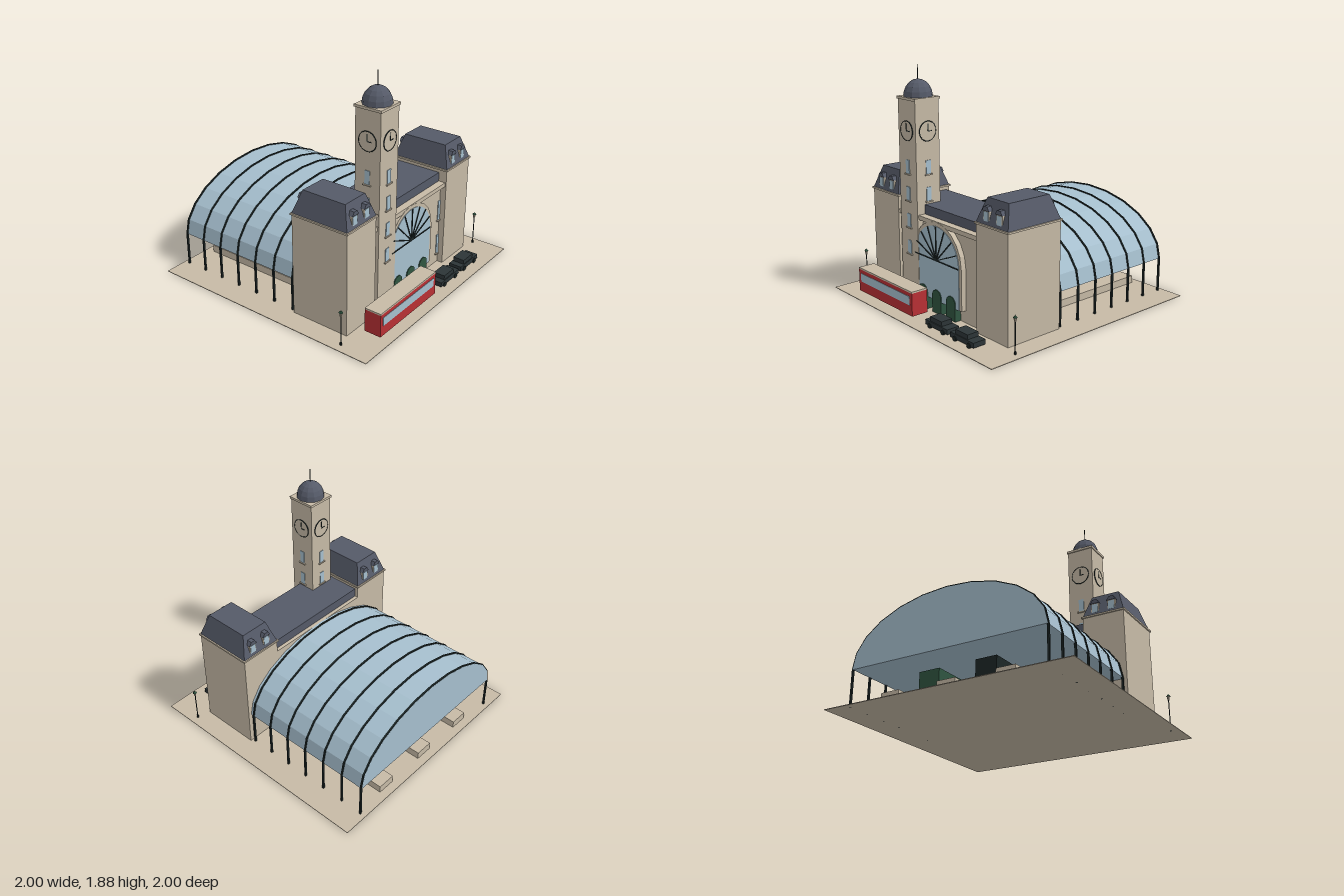
import * as THREE from 'three';

const mat = (name, color, side = THREE.FrontSide) => {
  const m = new THREE.MeshStandardMaterial({ color, side, flatShading: true });
  m.name = name;
  return m;
};

export function createModel() {
  const stone = mat('stone', 0xc6baa6), slate = mat('slate', 0x555a68), glass = mat('glass', 0xa6bfce);
  const iron = mat('iron', 0x1c2626), red = mat('red', 0xb83034), green = mat('green', 0x2f5440);
  const dark = mat('dark car paint', 0x2c3537);
  const root = new THREE.Group();
  root.name = 'railwayStation';

  const add = (name, geo, m, parent = root) => {
    const mesh = new THREE.Mesh(geo, m);
    mesh.name = name;
    parent.add(mesh);
    return mesh;
  };
  const group = (name, x = 0, y = 0, z = 0) => {
    const g = new THREE.Group();
    g.name = name;
    g.position.set(x, y, z);
    root.add(g);
    return g;
  };
  // box given by its limits on each axis
  const box = (name, m, x0, x1, y0, y1, z0, z1, parent = root) => {
    const b = add(name, new THREE.BoxGeometry(x1 - x0, y1 - y0, z1 - z0), m, parent);
    b.position.set((x0 + x1) / 2, (y0 + y1) / 2, (z0 + z1) / 2);
    return b;
  };
  const extrude = (name, points, z0, z1, m, parent = root) => {
    const geo = new THREE.ExtrudeGeometry(new THREE.Shape(points), { depth: z1 - z0, bevelEnabled: false });
    geo.translate(0, 0, z0);
    return add(name, geo, m, parent);
  };
  // half ellipse from right to left
  const arc = (a, b, y, n, x = 0) => Array.from({ length: n + 1 }, (_, i) => {
    const t = (Math.PI * i) / n;
    return new THREE.Vector2(x + a * Math.cos(t), y + b * Math.sin(t));
  });
  // round-headed panel
  const tablet = (r, y0, spring, n, x = 0) => [
    new THREE.Vector2(x + r, y0), ...arc(r, r, spring, n, x), new THREE.Vector2(x - r, y0)];
  // window pane with a thin surround and a sill, facing +z
  const windowUnit = (x, y, z, w, h, parent) => {
    box('windowPane', glass, x - w / 2, x + w / 2, y, y + h, z - 0.004, z + 0.004, parent);
    box('windowSill', stone, x - w / 2 - 0.012, x + w / 2 + 0.012, y - 0.01, y, z - 0.004, z + 0.012, parent);
  };

  box('ground', stone, -1, 1, 0, 0.005, -1, 1);

  // Central hall
  box('hallWall', stone, -0.48, 0.48, 0, 0.7, 0.2, 0.65);
  box('hallCornice', stone, -0.48, 0.48, 0.7, 0.735, 0.2, 0.69);
  box('hallRoof', slate, -0.48, 0.48, 0.735, 0.81, 0.23, 0.63);
  extrude('archSurround', tablet(0.297, 0.105, 0.435, 10), 0.64, 0.692, stone);
  extrude('archGlass', tablet(0.27, 0.105, 0.43, 24), 0.69, 0.697, glass);
  for (let i = 0; i <= 8; i++) {
    const t = (Math.PI * i) / 8;
    const bar = add('fanBar', new THREE.BoxGeometry(0.268, 0.008, 0.008), iron);
    bar.position.set(0.134 * Math.cos(t), 0.43 + 0.134 * Math.sin(t), 0.699);
    bar.rotation.z = t;
  }
  for (const x of [-0.175, 0, 0.175]) extrude('door', tablet(0.055, 0.005, 0.14, 12, x), 0.64, 0.704, green);
  for (const s of [-1, 1]) for (const [y, h] of [[0.09, 0.17], [0.4, 0.17]]) windowUnit(s * 0.466, y, 0.652, 0.03, h, root);

  // Corner pavilions with tapered roofs and dormers
  for (const s of [-1, 1]) {
    const p = group(s > 0 ? 'leftPavilion' : 'rightPavilion', s * 0.6525, 0, 0.45);
    box('pavilionWall', stone, -0.1725, 0.1725, 0, 0.84, -0.25, 0.25, p);
    box('pavilionCornice', stone, -0.183, 0.183, 0.836, 0.85, -0.26, 0.26, p);
    const geo = new THREE.BoxGeometry(0.345, 0.18, 0.5);
    const pos = geo.attributes.position;
    for (let i = 0; i < pos.count; i++) {
      if (pos.getY(i) > 0) pos.setXYZ(i, Math.sign(pos.getX(i)) * 0.115, 0.09, Math.sign(pos.getZ(i)) * 0.19);
    }
    geo.computeVertexNormals();
    add('mansardRoof', geo, slate, p).position.y = 0.94;
    for (const turn of [0, Math.PI]) {
      const side = new THREE.Group();
      side.name = 'dormers';
      side.rotation.y = turn;
      p.add(side);
      for (const x of [-0.07, 0.07]) {
        box('dormerBody', stone, x - 0.033, x + 0.033, 0.86, 0.95, 0.18, 0.24, side);
        box('dormerPane', glass, x - 0.025, x + 0.025, 0.872, 0.942, 0.237, 0.244, side);
        extrude('dormerRoof', [[-0.038, 0.948], [0.038, 0.948], [0.018, 0.98], [-0.018, 0.98]]
          .map(([a, b]) => new THREE.Vector2(x + a, b)), 0.17, 0.247, slate, side);
      }
    }
  }

  // Clock tower
  const tower = group('clockTower', -0.335, 0, 0.59);
  box('towerShaft', stone, -0.11, 0.11, 0, 1.62, -0.11, 0.11, tower);
  box('towerCornice', stone, -0.118, 0.118, 1.615, 1.635, -0.118, 0.118, tower);
  const dome = add('dome', new THREE.SphereGeometry(0.112, 12, 5, 0, Math.PI * 2, 0, Math.PI / 2), slate, tower);
  dome.position.y = 1.635;
  dome.scale.y = 1.17;
  add('spire', new THREE.CylinderGeometry(0.003, 0.004, 0.12, 6), iron, tower).position.y = 1.815;
  for (let k = 0; k < 4; k++) {
    const face = new THREE.Group();
    face.name = 'towerFace';
    face.rotation.y = (k * Math.PI) / 2;
    tower.add(face);
    const dial = add('clockDial', new THREE.CylinderGeometry(0.075, 0.075, 0.008, 24), stone, face);
    dial.rotation.x = Math.PI / 2;
    dial.position.set(0, 1.38, 0.112);
    add('clockRim', new THREE.TorusGeometry(0.076, 0.004, 6, 24), iron, face).position.set(0, 1.38, 0.114);
    box('minuteHand', iron, -0.003, 0.003, 1.38, 1.438, 0.115, 0.119, face);
    box('hourHand', iron, 0, 0.038, 1.377, 1.383, 0.115, 0.119, face);
    for (const y of [0.405, 0.62, 0.835, 1.047]) windowUnit(0, y, 0.111, 0.044, 0.108, face);
  }

  // Train shed: vault and iron ribs running down into columns
  extrude('glassVault', arc(0.8, 0.46, 0.28, 12), -0.96, 0.2, glass);
  const ribPoints = [new THREE.Vector2(0.808, 0), ...arc(0.808, 0.468, 0.28, 12), new THREE.Vector2(-0.808, 0),
    new THREE.Vector2(-0.793, 0), ...arc(0.793, 0.453, 0.28, 12).reverse(), new THREE.Vector2(0.793, 0)];
  for (let i = 0; i < 7; i++) {
    const z = 0.17 - i * 0.187;
    extrude('shedRib', ribPoints, z - 0.007, z + 0.007, iron);
  }

  // Platforms and trains
  for (const x of [-0.47, 0, 0.47]) box('platform', stone, x - 0.075, x + 0.075, 0, 0.065, -0.93, 0.2);
  box('greenTrain', green, 0.15, 0.32, 0.02, 0.22, -0.8, 0);
  box('darkTrain', iron, -0.32, -0.15, 0.02, 0.22, -0.8, 0);
  add('chimney', new THREE.CylinderGeometry(0.02, 0.02, 0.06, 10), iron).position.set(-0.235, 0.247, -0.265);

  // Bus
  box('busBody', red, -0.73, 0, 0.04, 0.222, 0.79, 0.93);
  box('busRoof', stone, -0.73, 0, 0.222, 0.235, 0.79, 0.93);
  for (const z of [0.79, 0.93]) box('busWindows', glass, -0.7, -0.03, 0.122, 0.192, z - 0.003, z + 0.003);

  // Cars
  for (const x of [0.265, 0.565]) {
    const car = group('car', x, 0, 0.852);
    box('carBody', dark, -0.133, 0.133, 0.02, 0.058, -0.055, 0.055, car);
    box('carCabin', dark, -0.08, 0.06, 0.058, 0.094, -0.048, 0.048, car);
    for (const wx of [-0.08, 0.08]) for (const wz of [-0.052, 0.052]) {
      const wheel = add('wheel', new THREE.CylinderGeometry(0.02, 0.02, 0.018, 10), iron, car);
      wheel.rotation.x = Math.PI / 2;
      wheel.position.set(wx, 0.022, wz);
    }
  }

  // Street lamps
  for (const x of [-0.933, 0.933]) {
    const lamp = group('streetLamp', x, 0, 0.73);
    add('lampFoot', new THREE.CylinderGeometry(0.008, 0.01, 0.025, 8), iron, lamp).position.y = 0.0125;
    add('lampPost', new THREE.CylinderGeometry(0.004, 0.004, 0.25, 8), iron, lamp).position.y = 0.125;
    add('lantern', new THREE.CylinderGeometry(0.012, 0.008, 0.03, 8), stone, lamp).position.y = 0.262;
    add('lampCap', new THREE.ConeGeometry(0.017, 0.02, 8), green, lamp).position.y = 0.287;
  }
  return root;
}
